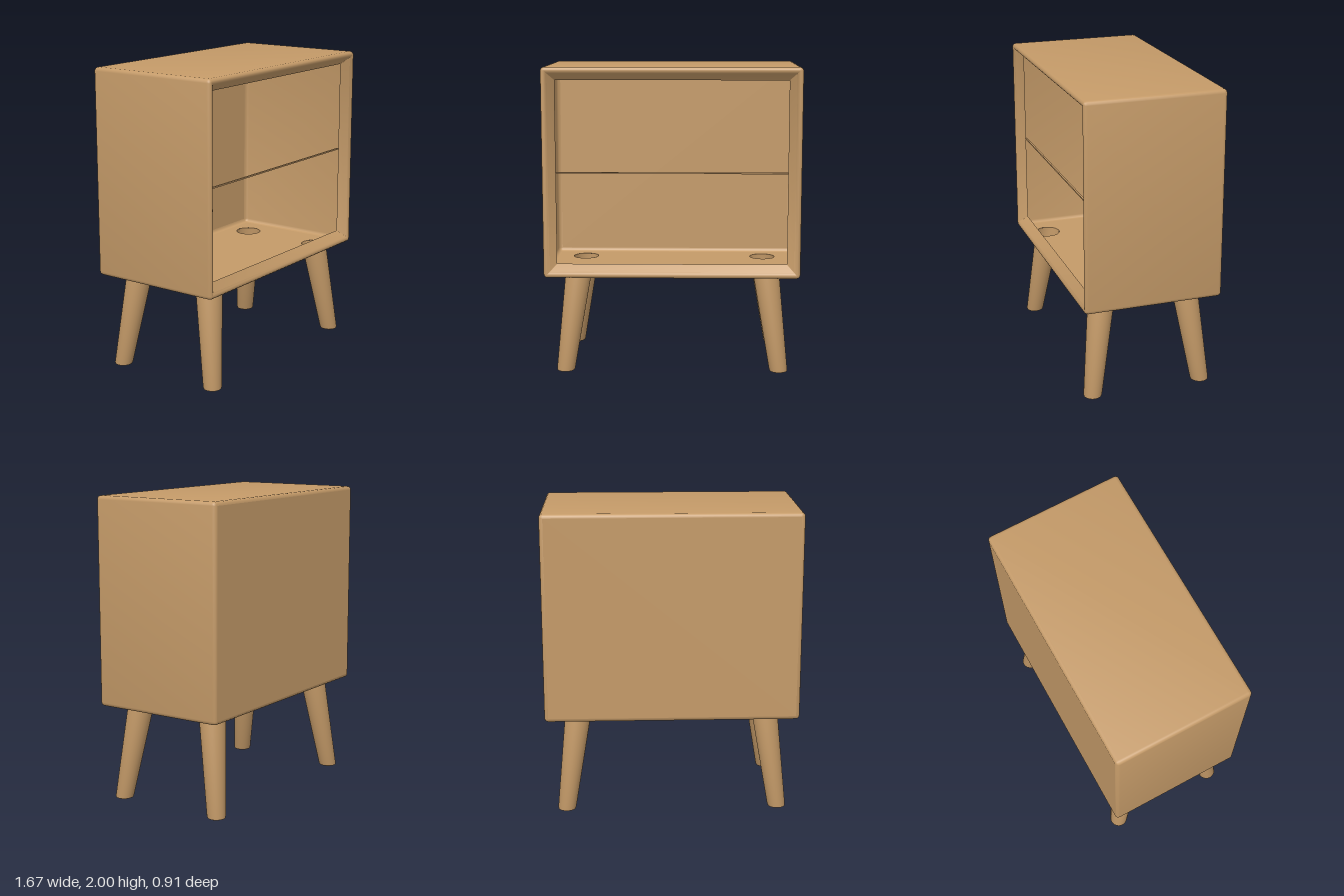
import * as THREE from 'three';
import { toCreasedNormals } from 'three/addons/utils/BufferGeometryUtils.js';

const HALF_W = 0.833, BOTTOM = 0.637, TOP = 2, CORNER = 0.025, SEG = 4;
const LEG_X = 0.62, LEG_Z = 0.285, LEG_R = 0.086;
const SIDES = [[-1, -1], [-1, 1], [1, -1], [1, 1]];

// Rounded rectangle outline, shrunk by inset, counter-clockwise from the front
function outline(inset) {
  const r = Math.max(CORNER - inset, 0.002);
  const cy = (TOP + BOTTOM) / 2;
  const w = HALF_W - inset - r, h = (TOP - BOTTOM) / 2 - inset - r;
  const pts = [];
  [[1, 1], [-1, 1], [-1, -1], [1, -1]].forEach(([sx, sy], c) => {
    for (let s = 0; s <= SEG; s++) {
      const a = (c + s / SEG) * Math.PI / 2;
      pts.push(new THREE.Vector2(sx * w + r * Math.cos(a), cy + sy * h + r * Math.sin(a)));
    }
  });
  return pts;
}

// Skin of the case: outlines joined from the back, round the front lip, into the rim
function caseGeometry() {
  const sections = [ // inset, z
    [0.025, -0.458], [0.012, -0.455], [0.003, -0.446], [0, -0.433],
    [0, 0.433], [0.003, 0.446], [0.012, 0.455], [0.022, 0.457],
    [0.032, 0.453], [0.04, 0.445], [0.085, 0.395],
  ];
  const n = 4 * (SEG + 1), pos = [], index = [];
  for (const [inset, z] of sections) for (const p of outline(inset)) pos.push(p.x, p.y, z);
  for (let k = 0; k < sections.length - 1; k++) {
    for (let i = 0; i < n; i++) {
      if (k === 3 && i === 3 * SEG + 2) continue; // space for the pierced floor
      const j = (i + 1) % n;
      const a = k * n + i, b = k * n + j, c = b + n, d = a + n;
      index.push(a, b, c, a, c, d);
    }
  }
  const g = new THREE.BufferGeometry();
  g.setAttribute('position', new THREE.Float32BufferAttribute(pos, 3));
  g.setIndex(index);
  return toCreasedNormals(g, 0.65);
}

// Floor panel with a round hole over each leg
function floorGeometry() {
  const w = HALF_W - CORNER, d = 0.433;
  const shape = new THREE.Shape([[-w, -d], [w, -d], [w, d], [-w, d]].map(p => new THREE.Vector2(...p)));
  for (const [sx, sz] of SIDES) {
    shape.holes.push(new THREE.Path().absarc(sx * LEG_X, sz * LEG_Z, LEG_R, 0, Math.PI * 2, true));
  }
  return new THREE.ShapeGeometry(shape, 32).rotateX(Math.PI / 2).translate(0, BOTTOM, 0);
}

// Tapered hollow leg, sheared so that the foot splays outward and stays level
function legGeometry(sx, sz) {
  const profile = [[0, 0], [0.05, 0], [0.057, 0.003], [0.06, 0.012], [LEG_R, BOTTOM]];
  const g = new THREE.LatheGeometry(profile.map(p => new THREE.Vector2(...p)), 32);
  const p = g.attributes.position;
  for (let i = 0; i < p.count; i++) {
    const t = 1 - p.getY(i) / BOTTOM;
    p.setX(i, p.getX(i) + sx * (LEG_X + 0.083 * t));
    p.setZ(i, p.getZ(i) + sz * (LEG_Z + 0.087 * t));
  }
  return toCreasedNormals(g, 0.8);
}

export function createModel() {
  const model = new THREE.Group();
  model.name = 'nightstand';
  const wood = new THREE.MeshStandardMaterial({ color: 0xc49a68, side: THREE.DoubleSide });
  wood.name = 'wood';

  const add = (name, geometry) => {
    const mesh = new THREE.Mesh(geometry, wood);
    mesh.name = name;
    model.add(mesh);
    return mesh;
  };

  // Open-fronted case
  add('caseShell', caseGeometry());
  add('floorPanel', floorGeometry());
  add('backPanel', new THREE.ShapeGeometry(new THREE.Shape(outline(0.025)))
    .rotateY(Math.PI).translate(0, 0, -0.458));

  // Slim rail across the opening
  add('dividerRail', new THREE.BoxGeometry(1.496, 0.009, 0.012)).position.set(0, 1.319, 0.392);

  // Four splayed legs
  for (const [sx, sz] of SIDES) {
    add(`${sz > 0 ? 'front' : 'back'}${sx > 0 ? 'Left' : 'Right'}Leg`, legGeometry(sx, sz));
  }
  return model;
}
